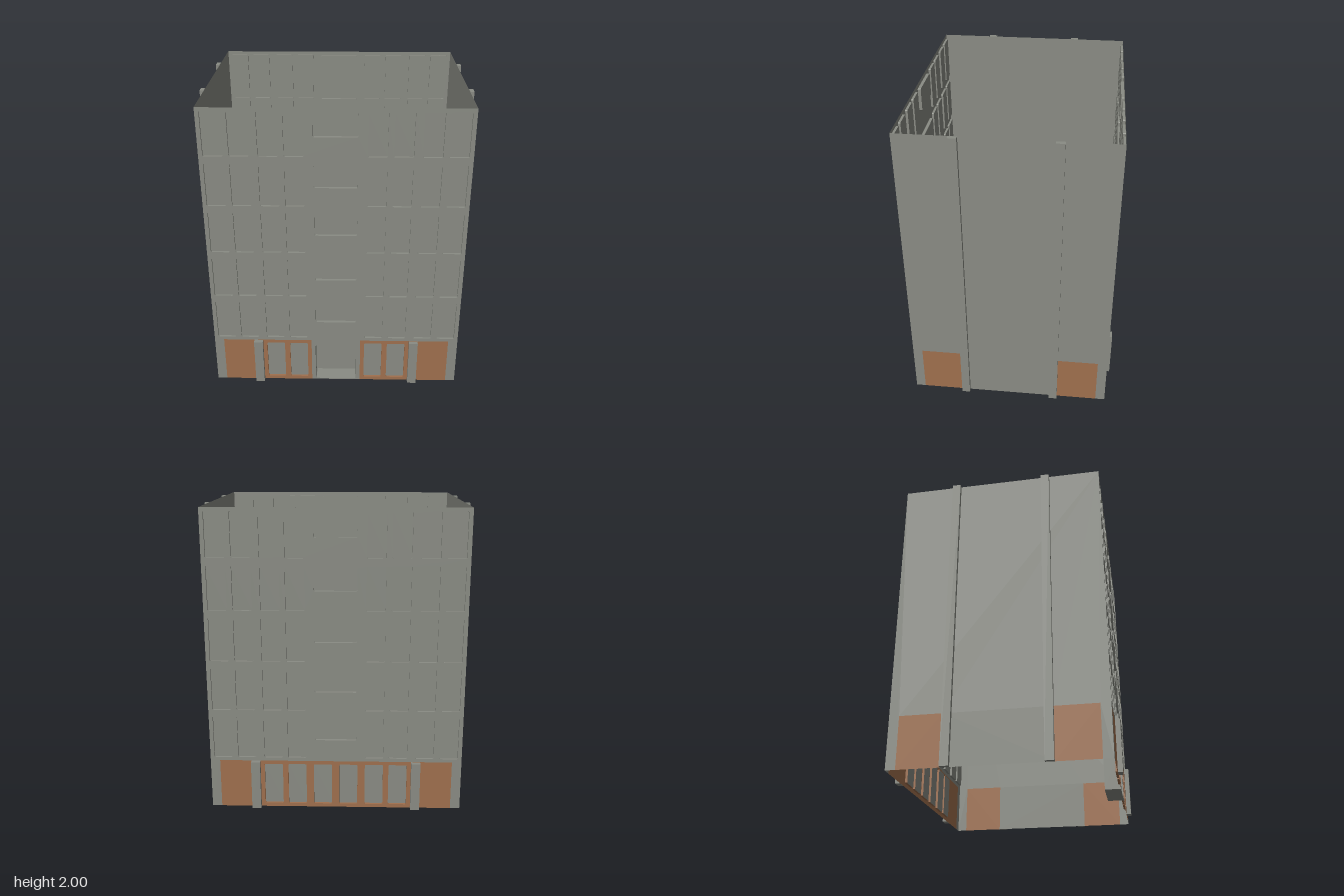
import * as THREE from 'three';

const HEIGHT = 2, HALF_X = 0.833, HALF_Z = 0.666, BASE = 0.334, FLOOR = 0.3333;

const concrete = new THREE.MeshStandardMaterial({ color: 0x8a8c84, side: THREE.DoubleSide });
concrete.name = 'concrete grey';
const cladding = new THREE.MeshStandardMaterial({ color: 0xa0704e, side: THREE.DoubleSide });
cladding.name = 'brown cladding';

function add(parent, name, geometry, material) {
  const mesh = new THREE.Mesh(geometry, material);
  mesh.name = name;
  parent.add(mesh);
  return mesh;
}

// Counter-clockwise outline of an opening with slightly cut corners
function outline({ x0, x1, y0, y1 }) {
  const c = 0.005;
  return [
    [x0 + c, y0], [x1 - c, y0], [x1, y0 + c], [x1, y1 - c],
    [x1 - c, y1], [x0 + c, y1], [x0, y1 - c], [x0, y0 + c],
  ].map(([x, y]) => new THREE.Vector2(x, y));
}

// Band of faces running from the wall back to the recessed pane
function revealGeometry(points, depth) {
  const pos = [];
  points.forEach((p, i) => {
    const q = points[(i + 1) % points.length];
    pos.push(p.x, p.y, 0, q.x, q.y, 0, q.x, q.y, -depth);
    pos.push(p.x, p.y, 0, q.x, q.y, -depth, p.x, p.y, -depth);
  });
  const geometry = new THREE.BufferGeometry();
  geometry.setAttribute('position', new THREE.Float32BufferAttribute(pos, 3));
  geometry.computeVertexNormals();
  return geometry;
}

// One wall sheet in its own plane, facing +z, with cladding bays cut into its foot
function facade(name, halfWidth, bays, openings) {
  const group = new THREE.Group();
  group.name = name;

  const corners = [[-halfWidth, 0]];
  for (const [a, b] of bays) corners.push([a, 0], [a, BASE], [b, BASE], [b, 0]);
  corners.push([halfWidth, 0], [halfWidth, HEIGHT], [-halfWidth, HEIGHT]);
  const wall = new THREE.Shape(corners.map(([x, y]) => new THREE.Vector2(x, y)));

  const panels = bays.map(([a, b]) => new THREE.Shape(
    [[a, 0], [b, 0], [b, BASE], [a, BASE]].map(([x, y]) => new THREE.Vector2(x, y))));

  for (const o of openings) {
    const points = outline(o);
    const bay = bays.findIndex(([a, b]) => o.y1 < BASE && o.x0 > a && o.x1 < b);
    (bay < 0 ? wall : panels[bay]).holes.push(new THREE.Path(points));
    add(group, o.name + 'Reveal', revealGeometry(points, o.depth), bay < 0 ? concrete : cladding);
    add(group, o.name + 'Pane', new THREE.ShapeGeometry(new THREE.Shape(points)), concrete)
      .position.z = -o.depth;
  }
  add(group, 'wall', new THREE.ShapeGeometry(wall), concrete);
  panels.forEach(p => add(group, 'baseCladding', new THREE.ShapeGeometry(p), cladding));
  return group;
}

function mirrored(ranges) {
  return ranges.flatMap(([a, b]) => [[-b, -a], [a, b]]);
}

function windowRow(ranges, y0, y1) {
  return ranges.map(([x0, x1]) => ({ name: 'window', x0, x1, y0, y1, depth: 0.015 }));
}

export function createModel() {
  const model = new THREE.Group();
  model.name = 'officeBlock';

  // Five upper floors: eight tall windows and a wide one in the middle
  const inner = [[0.194, 0.315], [0.351, 0.473]];
  const outer = [[0.527, 0.648], [0.685, 0.807]];
  const upper = [];
  for (let i = 0; i < 5; i++) {
    const y = i * FLOOR;
    upper.push(...windowRow(mirrored([...inner, ...outer]), 0.357 + y, 0.643 + y));
    upper.push({ name: 'wideWindow', x0: -0.136, x1: 0.136, y0: 0.484 + y, y1: 0.638 + y, depth: 0.02 });
  }

  // Front: entrance niche between two clad bays
  const entrance = { name: 'entrance', x0: -0.14, x1: 0.14, y0: 0.008, y1: 0.288, depth: 0.105 };
  const front = facade('frontWall', HALF_X, [[-0.77, -0.167], [0.167, 0.77]],
    [...upper, ...windowRow(mirrored(inner), 0.024, 0.31), entrance]);
  front.position.z = HALF_Z;

  // Back: one clad bay with a continuous row of six windows
  const back = facade('backWall', HALF_X, [[-0.77, 0.77]],
    [...upper, ...windowRow(mirrored([[0.024, 0.145], ...inner]), 0.024, 0.31)]);
  back.position.z = -HALF_Z;
  back.rotation.y = Math.PI;
  model.add(front, back);

  for (const s of [1, -1]) {
    // Blank side walls with clad corners
    const side = facade(s > 0 ? 'leftWall' : 'rightWall', HALF_Z, [[-0.603, -0.333], [0.333, 0.603]], []);
    side.position.x = s * HALF_X;
    side.rotation.y = s * Math.PI / 2;
    model.add(side);

    for (const t of [1, -1]) {
      // Full-height side ribs
      add(model, 'sideRib', new THREE.BoxGeometry(0.027, HEIGHT, 0.055), concrete)
        .position.set(s * (HALF_X + 0.0145), HEIGHT / 2, t * 0.3055);
      // Short ground-floor pillars
      add(model, 'groundPillar', new THREE.BoxGeometry(0.06, BASE, 0.031), concrete)
        .position.set(s * 0.53, BASE / 2, t * (HALF_Z + 0.0175));
    }
  }
  return model;
}
